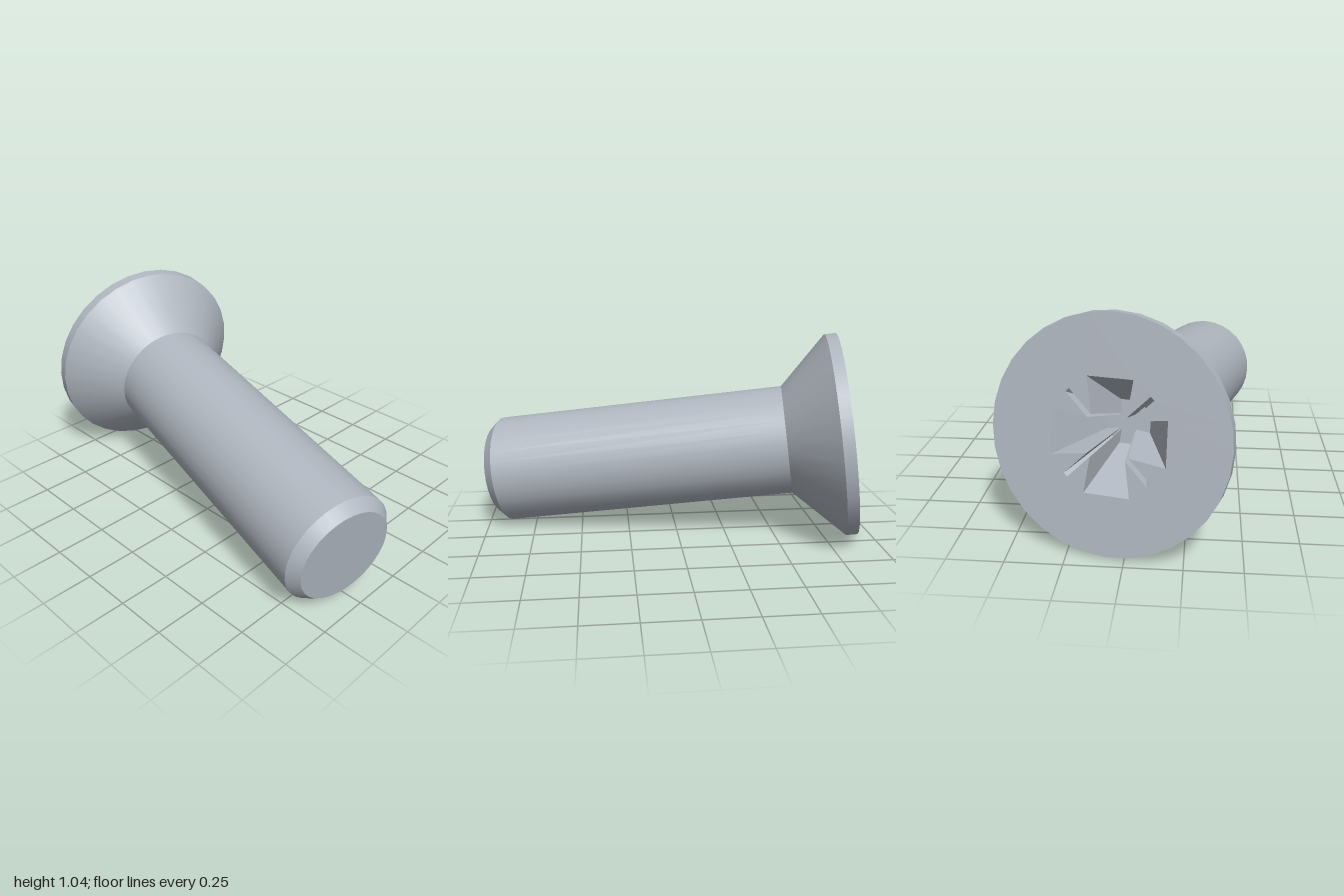
import * as THREE from 'three';

const SEG = 32;
const HEAD_R = 0.52, SHANK_R = 0.28, TIP_R = 0.235;
const RIM = 0.057, NECK = 0.303, CHAMFER = 1.819, LENGTH = 1.871;
const RECESS_DEPTH = 0.28, RECESS_TAPER = 0.4;

// Cross-shaped driver socket with four thin diagonal slots
function recessOutline() {
  const quarter = [[0.25, -0.1], [0.25, 0.1], [0.092, 0.077], [0.19, 0.175], [0.175, 0.19], [0.077, 0.092]];
  const points = [];
  for (let i = 0; i < 4; i++) {
    for (const [x, y] of quarter) {
      points.push(new THREE.Vector2(x, y).rotateAround(new THREE.Vector2(), i * Math.PI / 2));
    }
  }
  return points;
}

// Tapering socket walls, facing inwards
function recessWalls(outline) {
  const position = [];
  outline.forEach((p, i) => {
    const q = outline[(i + 1) % outline.length];
    const [a, b] = [p, q].map(v => [v.x, v.y, 0]);
    const [c, d] = [p, q].map(v => [v.x * RECESS_TAPER, v.y * RECESS_TAPER, -RECESS_DEPTH]);
    position.push(...a, ...b, ...c, ...b, ...d, ...c);
  });
  const geometry = new THREE.BufferGeometry();
  geometry.setAttribute('position', new THREE.Float32BufferAttribute(position, 3));
  geometry.computeVertexNormals();
  return geometry;
}

export function createModel() {
  const steel = new THREE.MeshStandardMaterial({ color: 0xb0b7c0 });
  steel.name = 'steel';

  const screw = new THREE.Group();
  screw.name = 'countersunkScrew';
  const add = (name, geometry) => {
    const mesh = new THREE.Mesh(geometry, steel);
    mesh.name = name;
    screw.add(mesh);
    return mesh;
  };

  // Turned surfaces: radius and depth at the lower and upper end of each
  const bands = [
    ['tipFace', 0, LENGTH, TIP_R, LENGTH],
    ['tipChamfer', TIP_R, LENGTH, SHANK_R, CHAMFER],
    ['shank', SHANK_R, CHAMFER, SHANK_R, NECK],
    ['headCone', SHANK_R, NECK, HEAD_R, RIM],
    ['headRim', HEAD_R, RIM, HEAD_R, 0],
  ];
  for (const [name, r0, d0, r1, d1] of bands) {
    add(name, new THREE.LatheGeometry([new THREE.Vector2(r0, -d0), new THREE.Vector2(r1, -d1)], SEG));
  }

  // Flat head face with the socket cut out
  const outline = recessOutline();
  const disc = new THREE.Shape();
  disc.setFromPoints(Array.from({ length: SEG }, (_, i) => {
    const a = i / SEG * Math.PI * 2;
    return new THREE.Vector2(HEAD_R * Math.cos(a), HEAD_R * Math.sin(a));
  }));
  disc.holes.push(new THREE.Path(outline));
  add('headFace', new THREE.ShapeGeometry(disc).rotateX(-Math.PI / 2));

  // Socket
  add('recessWalls', recessWalls(outline).rotateX(-Math.PI / 2));
  const floor = new THREE.Shape(outline.map(p => p.clone().multiplyScalar(RECESS_TAPER)));
  add('recessFloor', new THREE.ShapeGeometry(floor).translate(0, 0, -RECESS_DEPTH).rotateX(-Math.PI / 2));

  // Lay the screw down so its head rim and tip both touch the ground
  const yAxis = new THREE.Vector3(-1, 0.14, -0.213).normalize();
  const zAxis = new THREE.Vector3(0, 1, 0).addScaledVector(yAxis, -yAxis.y).normalize();
  const xAxis = new THREE.Vector3().crossVectors(yAxis, zAxis);
  screw.quaternion.setFromRotationMatrix(new THREE.Matrix4().makeBasis(xAxis, yAxis, zAxis));
  screw.position.set(-0.871, 0.53, -0.07);

  const model = new THREE.Group();
  model.name = 'model';
  model.add(screw);
  return model;
}
